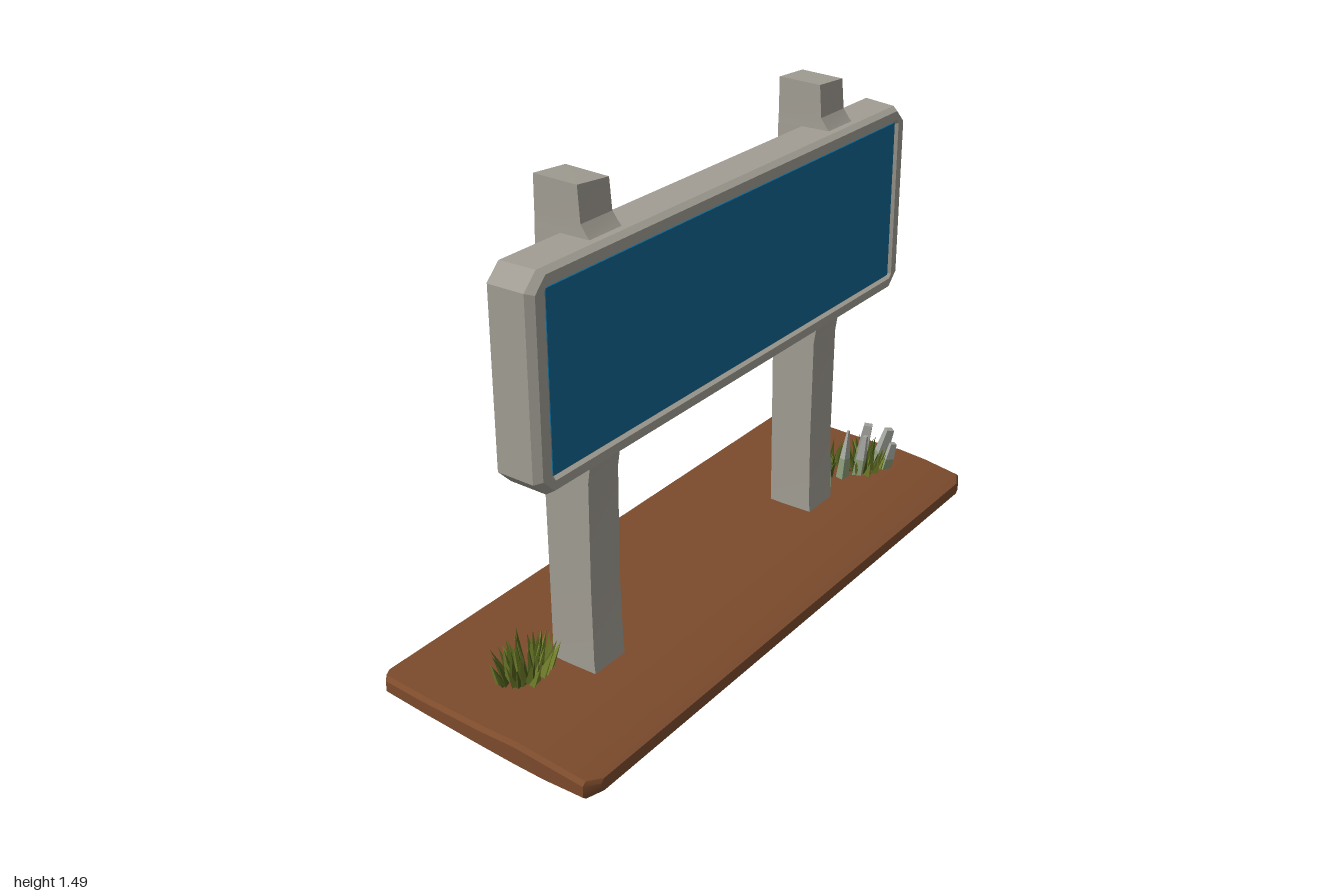
import * as THREE from 'three';
import { mergeGeometries, toCreasedNormals } from 'three/addons/utils/BufferGeometryUtils.js';

const paint = (name, color) => {
  const m = new THREE.MeshStandardMaterial({ color });
  m.name = name;
  return m;
};

// Joins equal-sized rings of [x, y, z] points (counterclockwise seen from the last ring) and caps both ends
function loft(rings, crease = 0.5) {
  const n = rings[0].length;
  const pos = [];
  const tri = (a, b, c) => pos.push(...a, ...b, ...c);
  for (let r = 0; r < rings.length - 1; r++) {
    const a = rings[r], b = rings[r + 1];
    for (let i = 0; i < n; i++) {
      const j = (i + 1) % n;
      tri(a[i], a[j], b[j]);
      tri(a[i], b[j], b[i]);
    }
  }
  const first = rings[0], last = rings[rings.length - 1];
  for (let i = 1; i < n - 1; i++) {
    tri(first[0], first[i + 1], first[i]);
    tri(last[0], last[i], last[i + 1]);
  }
  const g = new THREE.BufferGeometry();
  g.setAttribute('position', new THREE.Float32BufferAttribute(pos, 3));
  return toCreasedNormals(g, crease);
}

// Rectangle in the xy plane with cut corners
const octagon = (z, x0, x1, y0, y1, cx, cy = cx) => [
  [x0 + cx, y0, z], [x1 - cx, y0, z], [x1, y0 + cy, z], [x1, y1 - cy, z],
  [x1 - cx, y1, z], [x0 + cx, y1, z], [x0, y1 - cy, z], [x0, y0 + cy, z],
];

function seeded(seed) {
  return () => {
    seed = (seed * 16807) % 2147483647;
    return seed / 2147483647;
  };
}

export function createModel() {
  const model = new THREE.Group();
  const stone = paint('weatheredGrey', 0xa19d93);
  const blue = paint('panelBlue', 0x0f6490);
  const soil = paint('soilBrown', 0x7c4b2c);
  const grassDark = paint('grassDark', 0x4c5a1a);
  const grassLight = paint('grassLight', 0x71802a);
  const shardGrey = paint('shardGrey', 0xa6a8a1);
  const shardGreen = paint('shardGreen', 0x8a9a78);

  const add = (name, geometry, material, parent = model) => {
    const mesh = new THREE.Mesh(geometry, material);
    mesh.name = name;
    parent.add(mesh);
    return mesh;
  };

  // Ground slab, gently tilted: z, half width, bottom, top
  const slab = [
    [-0.373, 0.965, 0.05, 0.088], [-0.345, 0.995, 0.042, 0.095], [-0.2, 1, 0.035, 0.091],
    [0, 1, 0.021, 0.086], [0.12, 1, 0.014, 0.088], [0.22, 1, 0.011, 0.08],
    [0.345, 0.995, 0.01, 0.064], [0.368, 0.95, 0.018, 0.056],
  ];
  add('groundSlab', loft(slab.map(([z, w, y0, y1]) => octagon(z, -w, w, y0, y1, 0.012, 0.01))), soil);

  // Posts: y, x0, x1, z0, z1 with x measured from the post centre
  const postRings = [
    [0.04, -0.064, 0.066, -0.05, 0.105], [0.12, -0.063, 0.065, -0.05, 0.096],
    [0.35, -0.062, 0.061, -0.052, 0.092], [0.68, -0.064, 0.06, -0.053, 0.096],
    [0.74, -0.064, 0.06, -0.053, 0.105], [0.775, -0.064, 0.06, -0.053, 0.14],
    [1.35, -0.063, 0.062, -0.05, 0.13], [1.365, -0.062, 0.062, -0.05, 0.115],
    [1.39, -0.061, 0.062, -0.05, 0.096], [1.482, -0.06, 0.062, -0.05, 0.088],
  ];
  for (const [name, cx, tilt] of [['rightPost', -0.577, -0.006], ['leftPost', 0.509, -0.004]]) {
    const rings = postRings.map(([y, x0, x1, z0, z1], i) => {
      const top = i === postRings.length - 1 ? tilt : 0;
      return [
        [cx + x0, y - top, z1], [cx + x1, y + top, z1],
        [cx + x1, y + top + (top ? 0.005 : 0), z0], [cx + x0, y - top + (top ? 0.003 : 0), z0],
      ];
    });
    add(name, loft(rings), stone);
    // Foot showing slightly under the slab
    const foot = new THREE.CylinderGeometry(0.055, 0.05, 0.03, 8);
    foot.scale(1, 1, 1.35);
    foot.translate(cx, 0.015, 0.035);
    add(name + 'Foot', foot, soil);
  }

  // Sign board with bevelled rim and shallow recess
  add('signBoard', loft([
    octagon(0.02, -0.893, 0.846, 0.775, 1.345, 0.04),
    octagon(0.032, -0.905, 0.856, 0.766, 1.355, 0.045),
    octagon(0.145, -0.905, 0.826, 0.765, 1.356, 0.045),
    octagon(0.164, -0.888, 0.812, 0.776, 1.345, 0.04),
    octagon(0.164, -0.854, 0.784, 0.802, 1.318, 0.012),
    octagon(0.152, -0.847, 0.777, 0.808, 1.311, 0.01),
  ], 0.35), stone);
  const panel = new THREE.BoxGeometry(1.616, 0.494, 0.006);
  panel.translate(-0.035, 1.06, 0.154);
  add('bluePanel', panel, blue);

  // Grass tufts: pointed three-sided blades leaning outwards
  const rand = seeded(71);
  const up = new THREE.Vector3(0, 1, 0);
  const place = (g, x, y, z, lx, lz) => {
    const dir = new THREE.Vector3(lx, 1, lz).normalize();
    g.applyQuaternion(new THREE.Quaternion().setFromUnitVectors(up, dir));
    g.translate(x, y, z);
    return g.toNonIndexed();
  };
  const flat = (list) => {
    const g = mergeGeometries(list);
    g.computeVertexNormals();
    return g;
  };
  function tuft(name, cx, cz, rx, rz, count, height) {
    const group = new THREE.Group();
    group.name = name;
    const blades = [[], []];
    for (let i = 0; i < count; i++) {
      const a = rand() * Math.PI * 2, d = Math.sqrt(rand());
      const dx = Math.cos(a) * d, dz = Math.sin(a) * d;
      const h = height * (1 - 0.35 * d) * (0.75 + rand() * 0.35);
      const g = new THREE.ConeGeometry(0.011 + rand() * 0.007, h, 3);
      g.rotateY(rand() * 6);
      g.translate(0, h / 2, 0);
      blades[i % 2].push(place(g, cx + dx * rx, 0.075, cz + dz * rz,
        dx * 0.45 + (rand() - 0.5) * 0.3, dz * 0.45 + (rand() - 0.5) * 0.3));
    }
    add('darkBlades', flat(blades[0]), grassDark, group);
    add('lightBlades', flat(blades[1]), grassLight, group);
    model.add(group);
  }
  tuft('rightTuft', -0.75, -0.055, 0.08, 0.05, 60, 0.145);
  tuft('leftTuftBack', 0.68, -0.015, 0.09, 0.04, 60, 0.14);
  tuft('leftTuftFront', 0.81, 0.08, 0.065, 0.06, 50, 0.125);

  // Pale shards among the grass: x, z, base radius, top radius, height, lean x, lean z
  const shards = [
    [0.63, 0.04, 0.04, 0.003, 0.285, 0.02, 0], [0.71, 0.06, 0.028, 0.006, 0.18, 0.08, 0.05],
    [0.76, 0.09, 0.028, 0.012, 0.15, 0.1, 0.1], [0.79, 0.07, 0.032, 0.024, 0.17, 0.2, 0.1],
    [0.84, 0.11, 0.03, 0.022, 0.15, 0.25, 0.2], [0.85, 0.14, 0.026, 0.018, 0.1, 0.25, 0.15],
  ];
  const tops = [], bottoms = [];
  for (const [x, z, r0, r1, h, lx, lz] of shards) {
    const mid = (r0 + r1) / 2 + 0.004;
    const low = new THREE.CylinderGeometry(mid, r0, h * 0.45, 4);
    low.translate(0, h * 0.225, 0);
    const high = new THREE.CylinderGeometry(r1, mid, h * 0.55, 4);
    high.translate(0, h * 0.725, 0);
    for (const g of [low, high]) {
      g.rotateY(0.5 + x * 9);
      g.scale(1, 1, 0.75);
    }
    bottoms.push(place(low, x, 0.075, z, lx, lz));
    tops.push(place(high, x, 0.075, z, lx, lz));
  }
  add('shardTops', flat(tops), shardGrey);
  add('shardBases', flat(bottoms), shardGreen);

  return model;
}
